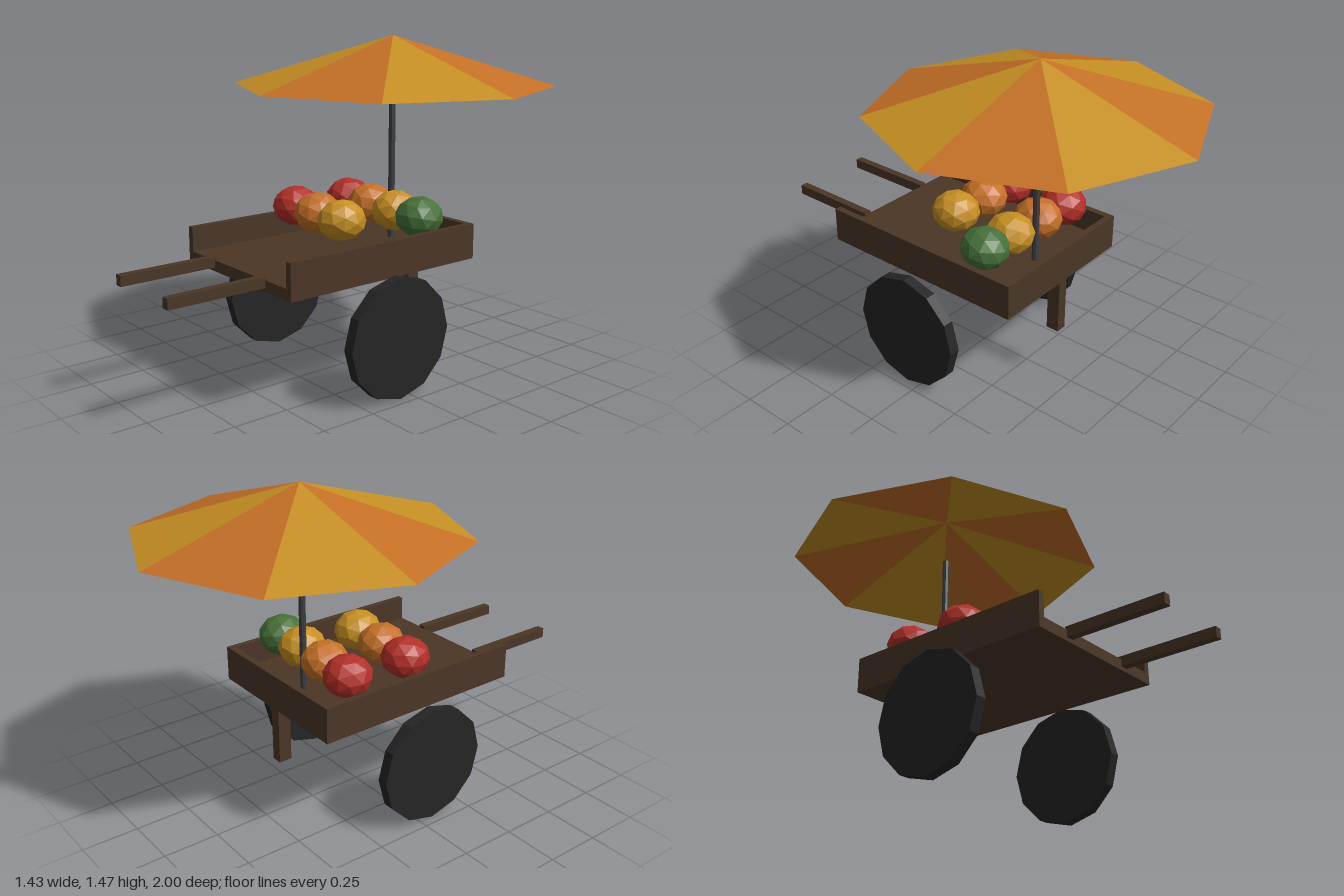
import * as THREE from 'three';

const mat = (name, color, extra = {}) => {
  const m = new THREE.MeshStandardMaterial({ color, flatShading: true, ...extra });
  m.name = name;
  return m;
};

export function createModel() {
  const cart = new THREE.Group();
  cart.name = 'fruitCart';

  const wood = mat('dark wood', 0x4a3626);
  const rubber = mat('wheel black', 0x252525);
  const metal = mat('pole grey', 0x3e3f42);
  const red = mat('fruit red', 0xb32f28);
  const green = mat('fruit green', 0x467038);
  const orange = mat('orange', 0xc47026, { side: THREE.DoubleSide });
  const yellow = mat('yellow', 0xc68f23, { side: THREE.DoubleSide });

  const add = (name, geometry, material, x, y, z) => {
    const mesh = new THREE.Mesh(geometry, material);
    mesh.name = name;
    mesh.position.set(x, y, z);
    cart.add(mesh);
    return mesh;
  };
  // Box given by its minimum and maximum corners
  const box = (name, [x0, y0, z0], [x1, y1, z1]) =>
    add(name, new THREE.BoxGeometry(x1 - x0, y1 - y0, z1 - z0), wood,
      (x0 + x1) / 2, (y0 + y1) / 2, (z0 + z1) / 2);

  // Tray, open at the front, with a prop leg at the back
  box('trayFloor', [-0.375, 0.503, -0.435], [0.375, 0.552, 0.562]);
  box('backBoard', [-0.345, 0.552, -0.435], [0.345, 0.66, -0.405]);
  box('propLeg', [-0.025, 0.253, -0.435], [0.025, 0.503, -0.375]);

  // Side boards, handles and wheels, mirrored
  for (const [side, s] of [['left', 1], ['right', -1]]) {
    const pair = (a, b) => [Math.min(a * s, b * s), Math.max(a * s, b * s)];
    const [b0, b1] = pair(0.345, 0.375);
    box(side + 'SideBoard', [b0, 0.552, -0.435], [b1, 0.66, 0.562]);
    const [h0, h1] = pair(0.168, 0.204);
    box(side + 'Handle', [h0, 0.52, 0.555], [h1, 0.566, 1]);
    add(side + 'Wheel', new THREE.CylinderGeometry(0.2635, 0.2635, 0.05, 12), rubber,
      s * 0.436, 0.2635, 0.065).rotation.z = Math.PI / 2;
  }

  // Parasol: pole and eight alternating canopy panels, open underneath
  add('parasolPole', new THREE.CylinderGeometry(0.015, 0.015, 0.7, 8), metal, 0, 0.902, -0.283);
  for (let i = 0; i < 8; i++) {
    const panel = new THREE.ConeGeometry(0.717, 0.218, 1, 1, true, i * Math.PI / 4, Math.PI / 4);
    add('canopyPanel' + (i + 1), panel, i % 2 ? yellow : orange, 0, 1.361, -0.283);
  }

  // Fruit in two rows, slightly squashed and each turned differently
  const fruitGeometry = new THREE.IcosahedronGeometry(0.106, 1);
  const fruits = [
    ['redFruit', red, -0.255, -0.24], ['orangeFruit', orange, -0.085, -0.23],
    ['yellowFruit', yellow, 0.095, -0.22], ['greenFruit', green, 0.258, -0.215],
    ['redFruit', red, -0.26, 0.065], ['orangeFruit', orange, -0.085, 0.075],
    ['yellowFruit', yellow, 0.095, 0.085],
  ];
  fruits.forEach(([name, material, x, z], i) => {
    const g = fruitGeometry.clone();
    g.rotateX(i * 1.3).rotateY(i * 2.1).scale(0.98, 0.86, 1.03);
    add(name + (i + 1), g, material, x, 0.703, z);
  });

  return cart;
}
